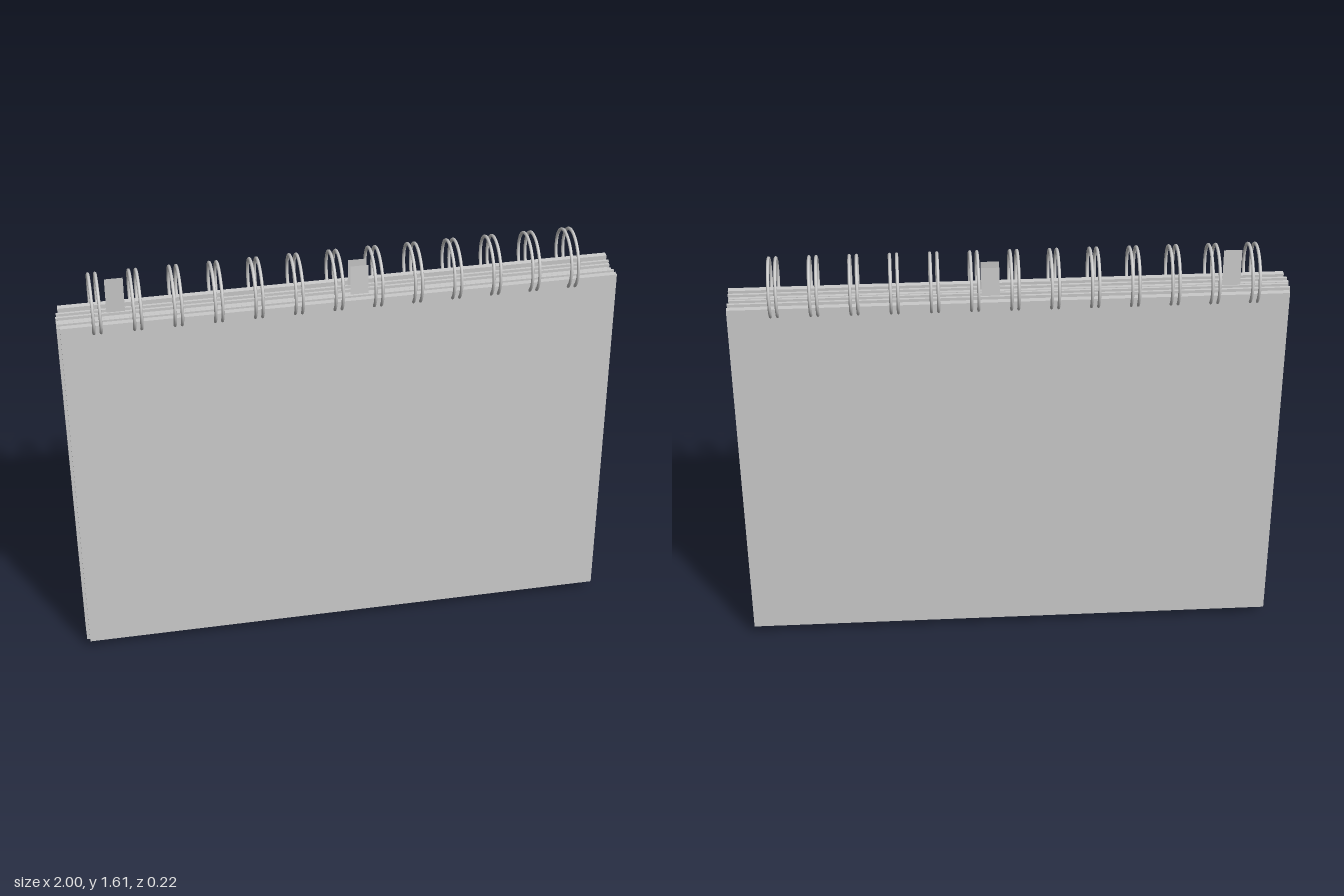
import * as THREE from 'three';

const grey = new THREE.MeshStandardMaterial({ color: 0xcccccc });
const thin = new THREE.MeshStandardMaterial({ color: 0xcccccc, side: THREE.DoubleSide });

function add(parent, name, geometry, x, y, z, material = grey) {
  const mesh = new THREE.Mesh(geometry, material);
  mesh.name = name;
  mesh.position.set(x, y, z);
  parent.add(mesh);
  return mesh;
}

export function createModel() {
  const book = new THREE.Group();
  book.name = 'ringNotebook';

  // Two stiff covers leaning together at the top
  const cover = new THREE.BoxGeometry(1.985, 1.415, 0.02);
  for (const side of [1, -1]) {
    const mesh = add(book, side > 0 ? 'frontCover' : 'backCover', cover, 0.003, 0.75, side * 0.084);
    mesh.rotation.x = -side * 0.0255;
  }

  // Page bundles, slightly misaligned: z, thickness, right end, bottom, top
  const pages = [
    [0.046, 0.006, 0.985, 0.0, 1.445],
    [0.037, 0.009, 0.995, 0.012, 1.455],
    [0.0285, 0.006, 0.985, 0.006, 1.44],
    [0.0185, 0.012, 0.99, 0.01, 1.45],
    [0.0065, 0.01, 0.98, 0.004, 1.445],
    [-0.004, 0.009, 0.99, 0.008, 1.455],
    [-0.0175, 0.011, 0.985, 0.012, 1.445],
    [-0.0285, 0.009, 0.995, 0.005, 1.455],
    [-0.0415, 0.012, 0.985, 0.008, 1.445],
  ];
  pages.forEach(([z, t, right, bottom, top], i) => {
    const left = -1 + (i % 3) * 0.003;
    add(book, 'pages', new THREE.BoxGeometry(right - left, top - bottom, t),
      (left + right) / 2, (top + bottom) / 2, z);
  });

  // Thin index tabs standing above the pages: x, z, top, lean
  for (const [x, z, top, lean] of [
    [-0.79, -0.003, 1.595, 0.04],
    [0.068, 0.028, 1.565, -0.06],
    [0.068, -0.025, 1.565, 0.06],
  ]) {
    const tab = add(book, 'indexTab', new THREE.PlaneGeometry(0.065, top - 1.4), x, (top + 1.4) / 2, z, thin);
    tab.rotation.x = lean;
  }

  // Double wire rings along the top edge
  const wire = new THREE.TorusGeometry(0.1045, 0.0058, 8, 40).rotateY(Math.PI / 2);
  for (let i = 0; i < 13; i++) {
    const ring = new THREE.Group();
    ring.name = 'doubleRing';
    ring.position.set(-0.862 + i * 0.141, 1.5, 0);
    for (const side of [-1, 1]) add(ring, 'wire', wire, side * 0.0125, 0, 0);
    book.add(ring);
  }
  return book;
}
